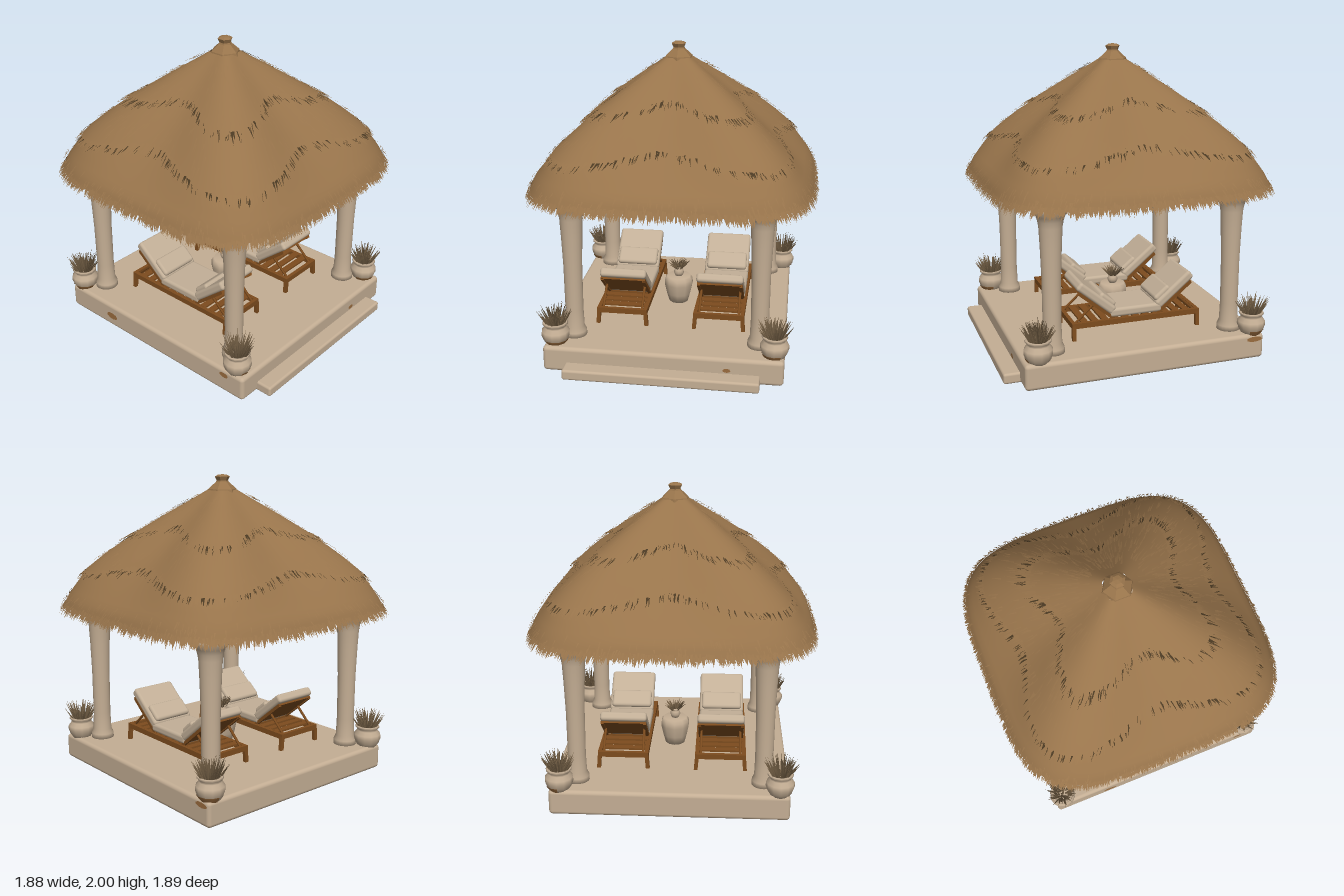
import * as THREE from 'three';
import { mergeGeometries, mergeVertices } from 'three/addons/utils/BufferGeometryUtils.js';
import { RoundedBoxGeometry } from 'three/addons/geometries/RoundedBoxGeometry.js';

const material = (name, color, side = THREE.FrontSide) => {
  const m = new THREE.MeshStandardMaterial({ color, side });
  m.name = name;
  return m;
};

let seed = 7;
const rand = (a = 0, b = 1) => {
  seed = (seed * 1664525 + 1013904223) % 4294967296;
  return a + (b - a) * seed / 4294967296;
};

// Roof form: straight-sloped faces between gently bulging rounded hips
const HIP = [[1.05, 0.93], [1.12, 0.905], [1.2, 0.87], [1.3, 0.81], [1.37, 0.755], [1.45, 0.675],
  [1.53, 0.585], [1.62, 0.46], [1.73, 0.315], [1.83, 0.175], [1.9, 0.08], [1.95, 0.03]];
function hipWidth(y) {
  let i = 1;
  while (i < HIP.length - 1 && y > HIP[i][0]) i++;
  const [y0, w0] = HIP[i - 1], [y1, w1] = HIP[i];
  return w0 + (w1 - w0) * (y - y0) / (y1 - y0);
}
function roofPoint(t, y, off = 0) {
  const s = Math.sin(t), c = Math.cos(t);
  const w = hipWidth(y), mid = Math.min(w, 0.08 + (1.9 - y) * 1.12);
  const r = (w + (mid - w) * Math.cos(2 * t) ** 2) / Math.pow(s ** 4 + c ** 4, 0.25) + off;
  return new THREE.Vector3(s * r, y + off * 0.6, c * r);
}
const hipDrop = t => Math.sin(2 * t) ** 2;

// Closed skirt following the roof form
function shell(top, bottom, drop, offTop, offBottom) {
  const g = new THREE.PlaneGeometry(1, 1, 128, 10), p = g.attributes.position;
  for (let i = 0; i < p.count; i++) {
    const t = p.getX(i) * Math.PI * 2, k = 0.5 - p.getY(i);
    const y = top + (bottom - drop * hipDrop(t) - top) * k;
    const v = roofPoint(t, y, offTop + (offBottom - offTop) * k);
    p.setXYZ(i, v.x, v.y, v.z);
  }
  g.deleteAttribute('uv');
  g.deleteAttribute('normal');
  const m = mergeVertices(g, 1e-5);
  m.computeVertexNormals();
  return m;
}

// Straw spikes lying down the roof slope; place(angle) gives each one its spot
function strands(count, place) {
  const pts = [];
  for (let i = 0; i < count; i++) {
    const t = rand(0, Math.PI * 2), { y, len, width, off, tip } = place(t);
    const p = roofPoint(t, y), d = width / Math.hypot(p.x, p.z);
    pts.push(roofPoint(t - d, y, off), roofPoint(t + rand(-1.5, 1.5) * d, y - len, tip), roofPoint(t + d, y, off));
  }
  const g = new THREE.BufferGeometry().setFromPoints(pts);
  g.computeVertexNormals();
  return g;
}

// Spray of pointed leaves
function leaves(count, height, spread, rootRadius, thick) {
  const list = [];
  for (let i = 0; i < count; i++) {
    const a = rand(0, 6.283), k = Math.sqrt(rand()), h = height * rand(0.65, 1) * (1 - 0.25 * k);
    const g = new THREE.ConeGeometry(thick, 1, 3);
    const from = new THREE.Vector3(Math.sin(a) * k * rootRadius, 0, Math.cos(a) * k * rootRadius);
    const to = new THREE.Vector3(Math.sin(a) * k * spread, h, Math.cos(a) * k * spread);
    const dir = to.clone().sub(from);
    g.translate(0, 0.5, 0).scale(1, dir.length(), 1);
    g.applyQuaternion(new THREE.Quaternion().setFromUnitVectors(new THREE.Vector3(0, 1, 0), dir.normalize()));
    list.push(g.translate(from.x, from.y, from.z));
  }
  return mergeGeometries(list);
}

const lathe = (pts, n, start, length) => new THREE.LatheGeometry(pts.map(p => new THREE.Vector2(...p)), n, start, length);

const rod = (a, b, r, n = 6) => {
  const dir = b.clone().sub(a), g = new THREE.CylinderGeometry(r, r, dir.length(), n);
  g.applyQuaternion(new THREE.Quaternion().setFromUnitVectors(new THREE.Vector3(0, 1, 0), dir.normalize()));
  const c = a.clone().add(b).multiplyScalar(0.5);
  return g.translate(c.x, c.y, c.z);
};

export function createModel() {
  const plaster = material('plaster', 0xc4ae94, THREE.DoubleSide);
  const cushionMat = material('cushion fabric', 0xc2af97);
  const wood = material('wood', 0x7d4c1e);
  const thatch = material('thatch', 0x98744b, THREE.DoubleSide);
  const darkStraw = material('dark straw', 0x4a3922, THREE.DoubleSide);
  const plant = material('dry plant', 0x786348);
  const worn = material('worn clay', 0x9a6c3e);

  const model = new THREE.Group();
  const add = (parent, name, geo, mat, x = 0, y = 0, z = 0) => {
    const m = new THREE.Mesh(geo, mat);
    m.name = name;
    m.position.set(x, y, z);
    parent.add(m);
    return m;
  };
  const box = (parent, name, mat, w, h, d, x, y, z) => add(parent, name, new THREE.BoxGeometry(w, h, d), mat, x, y, z);
  const soft = (parent, name, mat, w, h, d, r, x, y, z) =>
    add(parent, name, new RoundedBoxGeometry(w, h, d, 3, r), mat, x, y, z);

  // Plinth and front step
  soft(model, 'platform', plaster, 1.53, 0.168, 1.59, 0.025, 0, 0.084, 0.017);
  soft(model, 'frontStep', plaster, 1.24, 0.068, 0.18, 0.015, 0, 0.034, 0.825);
  // Worn spots: [x, y, z, turn, width, height]
  for (const [x, y, z, turn, w, h] of [[0.41, 0.09, 0.814, 0, 0.025, 0.014],
    [0.767, 0.135, -0.71, 1, 0.055, 0.018], [-0.767, 0.085, -0.37, -1, 0.05, 0.025], [-0.767, 0.13, 0.66, -1, 0.035, 0.018]]) {
    add(model, 'wornPatch', new THREE.CircleGeometry(1, 9).scale(w, h, 1), worn, x, y, z).rotation.y = turn * Math.PI / 2;
  }

  // Columns, beams and corner pots
  const columnGeo = lathe([[0, 0.16], [0.078, 0.16], [0.076, 0.2], [0.062, 0.23], [0.058, 0.35], [0.06, 0.65], [0.067, 0.85],
    [0.073, 0.97], [0.08, 1.01], [0.09, 1.04], [0.112, 1.07], [0.112, 1.095], [0.085, 1.11], [0, 1.11]], 20);
  const foot = [[0.06, 0], [0.08, 0.03], [0.092, 0.065]];
  const potGeo = lathe([[0, 0], ...foot, [0.09, 0.09], [0.07, 0.115],
    [0.072, 0.13], [0.083, 0.14], [0.078, 0.15], [0.062, 0.146], [0.055, 0.125], [0, 0.125]], 12);
  const wornFoot = lathe([[0.063, 0], [0.083, 0.03], [0.086, 0.038]], 4, -Math.PI / 6, Math.PI * 2 / 3);
  const potPlant = leaves(80, 0.17, 0.12, 0.05, 0.008);
  for (const sx of [-1, 1]) for (const sz of [-1, 1]) {
    add(model, 'column', columnGeo, plaster, sx * 0.6, 0, sz * 0.6);
    const planter = new THREE.Group();
    planter.name = 'cornerPlanter';
    planter.position.set(sx * 0.7, 0.155, sz * 0.715);
    planter.rotation.y = sz > 0 ? (sx > 0 ? -Math.PI / 3 : 0) : sx * Math.PI / 2;
    add(planter, 'pot', potGeo, plaster);
    add(planter, 'wornPotFoot', wornFoot, worn);
    add(planter, 'potPlant', potPlant, plant, 0, 0.125, 0);
    model.add(planter);
  }
  for (const s of [-1, 1]) {
    box(model, 'roofBeam', wood, 1.34, 0.085, 0.075, 0, 1.145, s * 0.6);
    box(model, 'roofBeam', wood, 0.075, 0.085, 1.34, s * 0.6, 1.15, 0);
  }

  // Thatched roof in three overlapping layers, each edged with straw
  const roof = new THREE.Group();
  roof.name = 'thatchedRoof';
  model.add(roof);
  const tiers = [[1.9, 1.67, 0.08, 0.015], [1.72, 1.42, 0.085, 0.012], [1.48, 1.125, 0, 0.006]];
  for (const [top, bottom, drop, lift] of tiers) {
    add(roof, 'thatchLayer', shell(top, bottom, drop, 0, lift), thatch);
    const eave = drop === 0;
    const fringe = (lo, hi, spread) => t => ({
      y: bottom - drop * hipDrop(t) + rand(-0.005, spread), len: rand(lo, hi),
      width: rand(0.004, 0.008), off: lift + 0.003, tip: lift + 0.01,
    });
    add(roof, 'thatchFringe', strands(eave ? 1700 : 800, fringe(0.03, 0.06, 0.022)), thatch);
    if (!eave) add(roof, 'darkFringe', strands(260, fringe(0.025, 0.05, 0.01)), darkStraw);
  }
  // Loose straws scattered over the slopes
  const scatter = (lo, hi) => () => ({
    y: rand(lo, hi), len: rand(0.03, 0.06), width: rand(0.003, 0.006), off: 0.015, tip: 0.026,
  });
  add(roof, 'looseStraw', strands(750, scatter(1.42, 1.87)), thatch);
  add(roof, 'eaveStraw', strands(350, scatter(1.13, 1.22)), thatch);

  // Rough lining with hanging straws
  add(roof, 'roofLining', shell(1.89, 1.13, 0, -0.015, -0.03), thatch);
  add(roof, 'hangingStraw', strands(1200, () => ({
    y: rand(1.15, 1.8), len: rand(0.03, 0.08), width: rand(0.005, 0.011), off: -0.033, tip: -0.05,
  })), thatch);
  add(roof, 'innerEaveStraw', strands(600, () => ({
    y: rand(1.12, 1.17), len: rand(0.03, 0.06), width: 0.008, off: -0.025, tip: -0.015,
  })), thatch);

  // Rafters and battens below the thatch
  const poles = [];
  for (let i = 0; i < 28; i++) {
    const t = i / 28 * Math.PI * 2;
    for (let j = 0; j < 4; j++)
      poles.push(rod(roofPoint(t, 1.16 + j * 0.165, -0.058), roofPoint(t, 1.325 + j * 0.165, -0.058), 0.013, 5));
  }
  for (let y = 1.2; y < 1.75; y += 0.085) {
    for (let i = 0; i < 40; i++) {
      const step = Math.PI / 20;
      poles.push(rod(roofPoint(i * step, y, -0.045), roofPoint((i + 1) * step, y, -0.045), 0.009, 4));
    }
  }
  add(roof, 'raftersAndBattens', mergeGeometries(poles), thatch);

  // Faceted finial
  const cap = lathe([[0, 1.885], [0.1, 1.885], [0.094, 1.905], [0.043, 1.95], [0.038, 1.96], [0.05, 1.985], [0.03, 1.996], [0, 2]], 6).toNonIndexed();
  cap.computeVertexNormals();
  add(roof, 'finial', cap, thatch);

  // Double-ended loungers
  for (const sx of [-1, 1]) {
    const lounger = new THREE.Group();
    lounger.name = 'lounger';
    lounger.position.x = sx * 0.322;
    model.add(lounger);
    for (const s of [-1, 1]) box(lounger, 'sideRail', wood, 0.025, 0.035, 0.87, s * 0.155, 0.265, 0);
    for (let i = -5; i <= 5; i++) box(lounger, 'slat', wood, 0.3, 0.012, 0.045, 0, 0.277, i * 0.07);
    soft(lounger, 'seatCushion', cushionMat, 0.31, 0.06, 0.36, 0.02, 0, 0.317, 0);
    for (const turn of [0, Math.PI]) {
      const end = new THREE.Group();
      end.name = 'loungerEnd';
      end.rotation.y = turn;
      lounger.add(end);
      box(end, 'endRail', wood, 0.335, 0.035, 0.025, 0, 0.265, 0.425);
      for (const s of [-1, 1]) {
        box(end, 'leg', wood, 0.025, 0.1, 0.025, s * 0.159, 0.216, 0.425).rotation.z = s * 0.08;
        add(end, 'backStrut', rod(new THREE.Vector3(s * 0.13, 0.27, 0.41), new THREE.Vector3(s * 0.13, 0.4, 0.27), 0.009), wood);
      }
      const back = new THREE.Group();
      back.name = 'backrest';
      back.position.set(0, 0.422, 0.272);
      back.rotation.x = -0.69;
      end.add(back);
      soft(back, 'backCushion', cushionMat, 0.31, 0.06, 0.31, 0.02, 0, 0.005, 0);
      soft(back, 'lumbarPillow', cushionMat, 0.28, 0.05, 0.13, 0.02, 0, 0.035, -0.075);
      box(back, 'backPanel', wood, 0.3, 0.014, 0.27, 0, -0.03, -0.015);
      for (const s of [-1, 1]) box(back, 'backStile', wood, 0.02, 0.02, 0.3, s * 0.14, -0.034, -0.035);
    }
  }

  // Drum table with a small vase
  add(model, 'drumTable', lathe([[0, 0], [0.068, 0], [0.085, 0.06], [0.1, 0.13], [0.098, 0.165], [0.083, 0.187], [0, 0.187]], 10),
    plaster, 0, 0.168, 0);
  add(model, 'vase', lathe([[0, 0], [0.025, 0], [0.036, 0.025], [0.03, 0.045], [0.022, 0.055], [0.032, 0.068], [0, 0.06]], 12), plaster, 0, 0.355, 0);
  add(model, 'vasePlant', leaves(40, 0.08, 0.085, 0.02, 0.009), plant, 0, 0.41, 0);
  return model;
}
